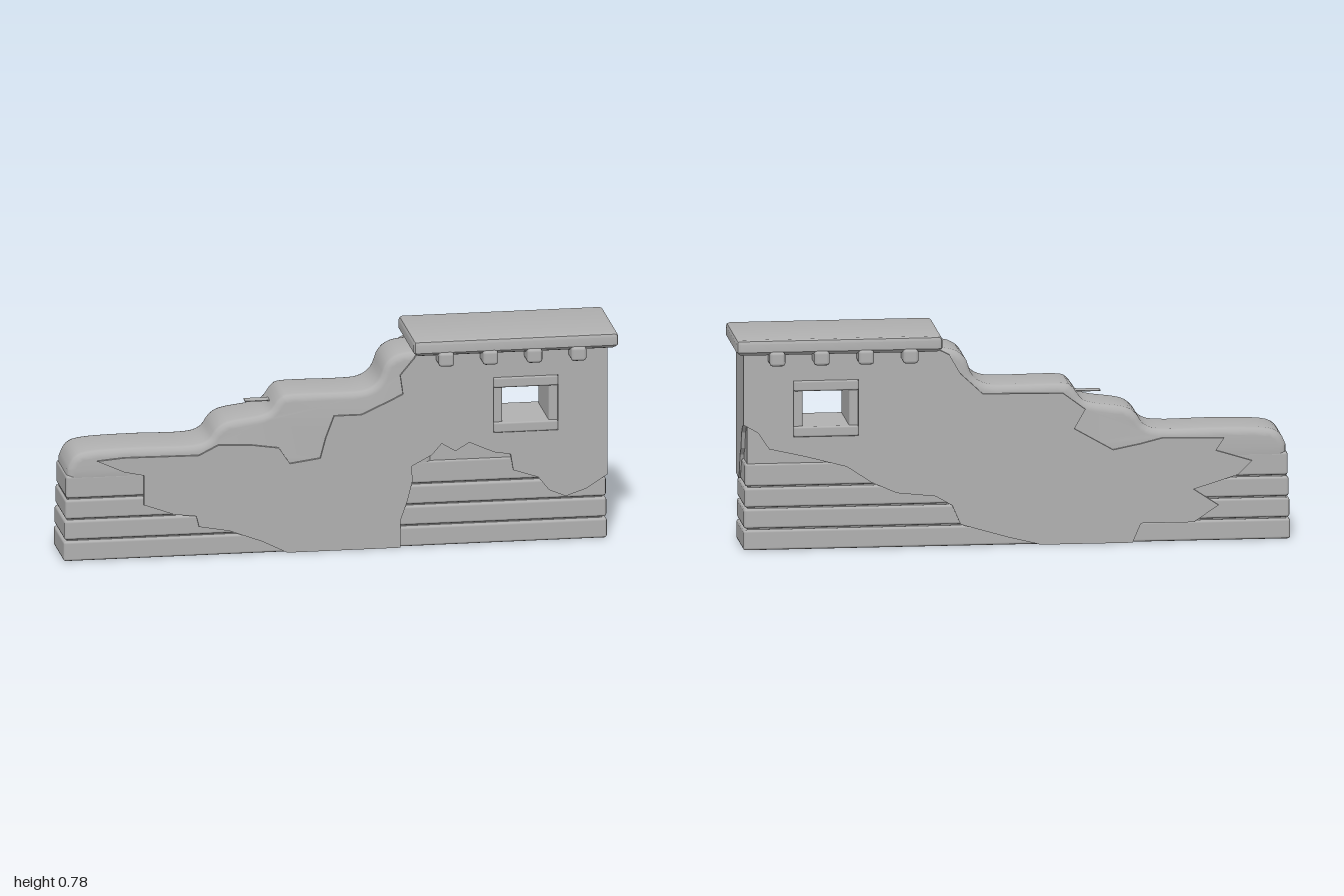
import * as THREE from 'three';
import { toCreasedNormals } from 'three/addons/utils/BufferGeometryUtils.js';
import { RoundedBoxGeometry } from 'three/addons/geometries/RoundedBoxGeometry.js';

const WINDOW = { x: 0.655, y: 0.515, w: 0.235, h: 0.205 };
const CORE = 0.108;      // half depth of the wall core
const FACE = 0.124;      // half depth to the plaster face

export function createModel() {
  const stone = new THREE.MeshStandardMaterial({ color: 0xb0b0b0 });
  stone.name = 'greyStone';

  const model = new THREE.Group();
  model.name = 'ruinedWall';
  const wall = new THREE.Group();
  wall.name = 'wall';
  const angle = THREE.MathUtils.degToRad(18.5);
  wall.rotation.y = angle;
  wall.position.set(0.02 * Math.sin(angle), 0, 0.02 * Math.cos(angle));
  model.add(wall);

  const add = (name, geometry, x = 0, y = 0, z = 0) => {
    const mesh = new THREE.Mesh(geometry, stone);
    mesh.name = name;
    mesh.position.set(x, y, z);
    wall.add(mesh);
    return mesh;
  };
  const chamferBox = (w, h, d, r) => new RoundedBoxGeometry(w, h, d, 1, r);
  const polygon = (points) => new THREE.Shape(points.map(([x, y]) => new THREE.Vector2(x, y)));
  const cutWindow = (shape) => {
    const { x, y, w, h } = WINDOW;
    shape.holes.push(new THREE.Path([
      new THREE.Vector2(x - w / 2, y - h / 2), new THREE.Vector2(x - w / 2, y + h / 2),
      new THREE.Vector2(x + w / 2, y + h / 2), new THREE.Vector2(x + w / 2, y - h / 2),
    ]));
    return shape;
  };
  const plate = (shape, depth) => new THREE.ExtrudeGeometry(shape, { depth, bevelEnabled: false });

  // Brick courses with dark joints formed by a narrower filling
  add('courseFilling', new THREE.BoxGeometry(1.94, 0.3, 0.196), -0.035, 0.155, 0);
  [[0, 0.073], [0.079, 0.15], [0.156, 0.227], [0.233, 0.316]].forEach(([low, high], i) => {
    const left = -1.02 + i * 0.003, right = 0.952 - i * 0.002;
    add('brickCourse', chamferBox(right - left, high - low, 0.23, 0.009),
      (left + right) / 2, (low + high) / 2, 0);
  });

  // Worn stepped top of the low wall
  const stepped = new THREE.Shape();
  stepped.moveTo(0.32, 0.28);
  stepped.lineTo(0.32, 0.722);
  stepped.splineThru([
    [0.25, 0.722], [0.19, 0.712], [0.15, 0.68], [0.125, 0.62], [0.08, 0.588], [0, 0.582],
    [-0.19, 0.583], [-0.235, 0.568], [-0.268, 0.525], [-0.31, 0.508], [-0.42, 0.492],
    [-0.465, 0.465], [-0.495, 0.425], [-0.56, 0.408], [-0.75, 0.41], [-0.92, 0.405],
    [-0.98, 0.385], [-1.005, 0.34],
  ].map(([x, y]) => new THREE.Vector2(x, y)));
  stepped.lineTo(-1.005, 0.28);
  const bevel = 0.026;
  add('steppedCore', toCreasedNormals(new THREE.ExtrudeGeometry(stepped, {
    depth: 2 * (CORE + 0.006 - bevel), curveSegments: 3, bevelEnabled: true,
    bevelSize: bevel, bevelThickness: bevel, bevelOffset: -bevel, bevelSegments: 3,
  }), 0.6), 0, 0, -(CORE + 0.006 - bevel));

  // Tower core
  add('towerCore', plate(cutWindow(polygon(
    [[0.26, 0.28], [0.938, 0.28], [0.938, 0.73], [0.26, 0.73]])), 2 * CORE), 0, 0, -CORE);

  // Broken plaster on both long faces
  const frontPlaster = [
    [-0.21, 0], [0.2, 0], [0.2, 0.1], [0.225, 0.17], [0.245, 0.25], [0.24, 0.3],
    [0.315, 0.34], [0.35, 0.38], [0.4, 0.35], [0.45, 0.38], [0.54, 0.34], [0.6, 0.33],
    [0.61, 0.27], [0.7, 0.24], [0.74, 0.19], [0.8, 0.165], [0.875, 0.19], [0.952, 0.24],
    [0.952, 0.73], [0.27, 0.73], [0.25, 0.7], [0.2, 0.64], [0.21, 0.57], [0.17, 0.55],
    [0.06, 0.5], [-0.04, 0.5], [-0.07, 0.42], [-0.09, 0.345], [-0.2, 0.33], [-0.24, 0.39],
    [-0.34, 0.405], [-0.46, 0.41], [-0.53, 0.375], [-0.8, 0.378], [-0.9, 0.37],
    [-0.8, 0.325], [-0.73, 0.31], [-0.73, 0.2], [-0.62, 0.16], [-0.54, 0.15],
    [-0.53, 0.11], [-0.42, 0.09], [-0.3, 0.045],
  ];
  const backPlaster = [
    [-0.45, 0], [-0.12, 0], [0, 0.03], [0.17, 0.08], [0.2, 0.15], [0.26, 0.185], [0.4, 0.2],
    [0.49, 0.24], [0.58, 0.3], [0.73, 0.34], [0.86, 0.37], [0.9, 0.43], [0.952, 0.46],
    [0.952, 0.73], [0.27, 0.73], [0.21, 0.7], [0.17, 0.63], [0.09, 0.555], [-0.2, 0.55],
    [-0.28, 0.49], [-0.24, 0.42], [-0.38, 0.34], [-0.48, 0.36], [-0.56, 0.38], [-0.78, 0.375],
    [-0.75, 0.33], [-0.88, 0.29], [-0.83, 0.24], [-0.67, 0.19], [-0.76, 0.13],
    [-0.67, 0.07], [-0.48, 0.07],
  ];
  const skin = FACE - CORE + 0.004;
  add('frontPlaster', plate(cutWindow(polygon(frontPlaster)), skin), 0, 0, FACE - skin);
  add('backPlaster', plate(cutWindow(polygon(backPlaster)), skin), 0, 0, -FACE);

  // Plaster on the tower end, drawn with its front edge on the left
  const endPlaster = add('endPlaster', plate(polygon([
    [-0.12, 0.24], [-0.04, 0.235], [-0.01, 0.27], [0.01, 0.33], [0.04, 0.36], [0.06, 0.42],
    [0.09, 0.45], [0.12, 0.46], [0.12, 0.73], [-0.12, 0.73]]), 0.02), 0.932);
  endPlaster.rotation.y = Math.PI / 2;

  // Window frame: lintel, sill and two jambs through the wall
  const { x, y, w, h } = WINDOW;
  for (const side of [-1, 1]) {
    add(side > 0 ? 'windowLintel' : 'windowSill',
      chamferBox(w, 0.038, 0.262, 0.007), x, y + side * (h / 2 - 0.019), 0);
    add('windowJamb', chamferBox(0.034, h - 0.06, 0.236, 0.006),
      x + side * (w / 2 - 0.017), y, 0);
  }

  // Roof beams passing under the slab
  for (const bx of [0.357, 0.517, 0.677, 0.837]) {
    add('roofBeam', chamferBox(0.056, 0.052, 0.394, 0.011), bx, 0.71, 0);
  }

  // Roof slab with slightly uneven, inward-leaning underside
  const slab = chamferBox(0.742, 0.058, 0.366, 0.014);
  const p = slab.attributes.position;
  for (let i = 0; i < p.count; i++) {
    if (p.getY(i) < -0.02) {
      p.setX(i, p.getX(i) * 0.985);
      p.setZ(i, p.getZ(i) * 0.96);
    }
  }
  add('roofSlab', toCreasedNormals(slab, 0.4), 0.612, 0.75, 0);

  // Loose thin slat lying on the steps
  add('looseSlat', new THREE.BoxGeometry(0.105, 0.003, 0.042), -0.293, 0.538, -0.005);

  return model;
}
